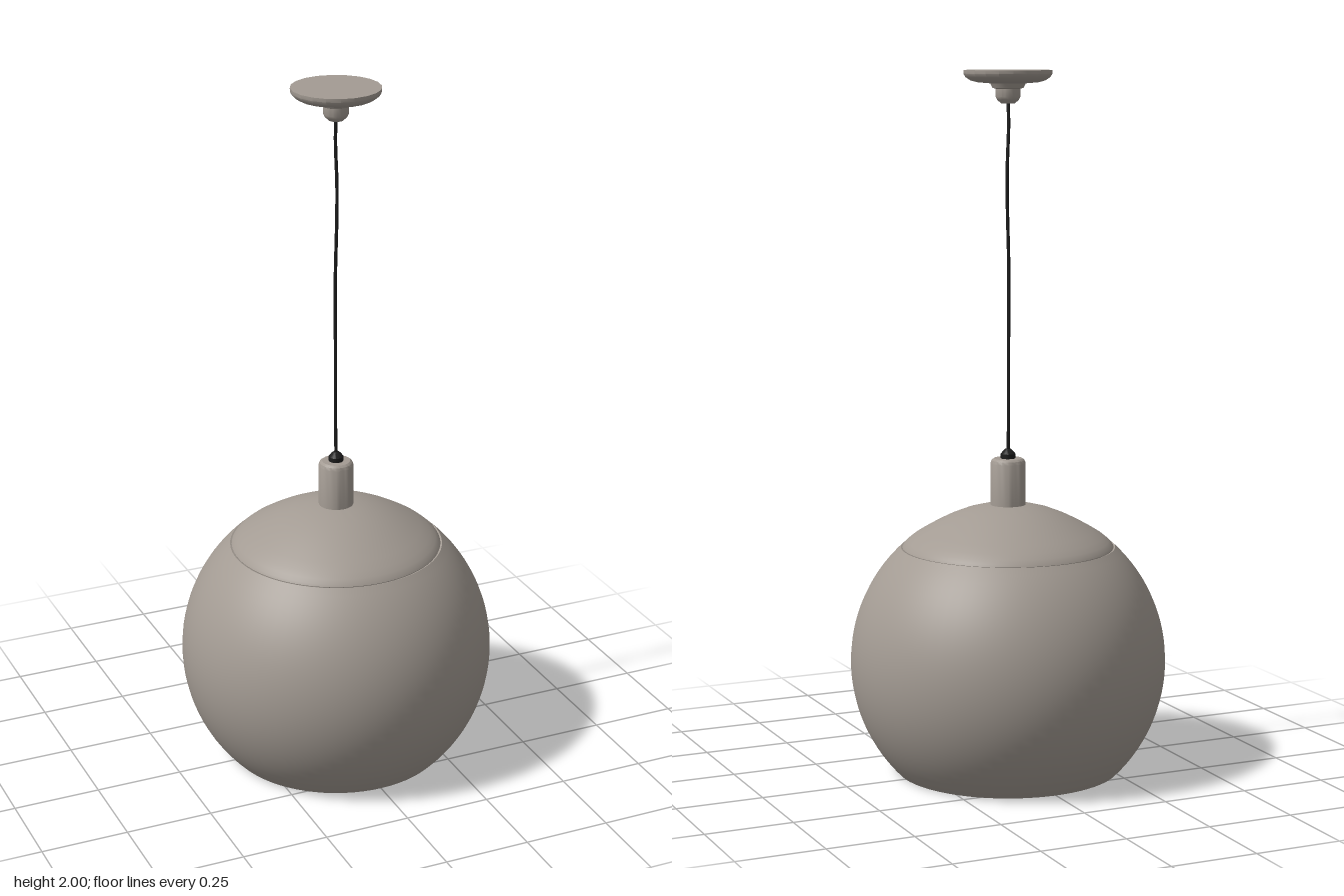
import * as THREE from 'three';
import { toCreasedNormals } from 'three/addons/utils/BufferGeometryUtils.js';

const shell = new THREE.MeshStandardMaterial({ color: 0xa39b93 });
shell.name = 'warm grey';
const dark = new THREE.MeshStandardMaterial({ color: 0x1c1c1c });
dark.name = 'black';

const CENTRE = 0.318, RADIUS = 0.452;

// Points on a sphere profile between two heights
function arc(radius, y0, y1, steps) {
  const a0 = Math.asin((y0 - CENTRE) / radius);
  const a1 = Math.asin((y1 - CENTRE) / radius);
  return Array.from({ length: steps + 1 }, (_, i) => {
    const a = a0 + (a1 - a0) * i / steps;
    return [radius * Math.cos(a), CENTRE + radius * Math.sin(a)];
  });
}

// Turned part; profiles run upwards on outer faces
function turned(name, points, material, sides) {
  const lathe = new THREE.LatheGeometry(points.map(([r, y]) => new THREE.Vector2(r, y)), sides);
  const mesh = new THREE.Mesh(toCreasedNormals(lathe, 0.6), material);
  mesh.name = name;
  return mesh;
}

export function createModel() {
  const group = new THREE.Group();
  group.name = 'pendantLamp';

  // Open globe with an inner wall
  group.add(turned('globeShade', [
    ...arc(RADIUS - 0.006, 0.642, 0, 28),
    ...arc(RADIUS, 0, 0.65, 28),
    [0.293, 0.645],
  ], shell, 72));

  // Domed cap set into the globe behind a narrow groove
  group.add(turned('domeCap', [
    [0, 0.762], [0.1, 0.749], [0.2, 0.708], [0.286, 0.643],
    [0.3, 0.643], [0.302, 0.65], [0.298, 0.657], [0.288, 0.667], [0.272, 0.68],
    [0.245, 0.697], [0.21, 0.717], [0.17, 0.737], [0.125, 0.755],
    [0.08, 0.767], [0.04, 0.773], [0, 0.775],
  ], shell, 72));

  // Socket holder
  group.add(turned('socketHolder', [
    [0.05, 0.76], [0.05, 0.892], [0.047, 0.9], [0.04, 0.905], [0, 0.905],
  ], shell, 32));

  // Cord grip
  group.add(turned('cordGrip', [
    [0.021, 0.903], [0.021, 0.918], [0.014, 0.927], [0.008, 0.932], [0, 0.932],
  ], dark, 16));

  // Slightly wavy cord
  const path = new THREE.CatmullRomCurve3([
    [0, 0.92, 0], [0, 1.0, -0.003], [-0.002, 1.2, 0.001], [-0.004, 1.45, 0.004],
    [0.002, 1.62, 0], [0.004, 1.72, -0.003], [0, 1.85, -0.004], [0, 1.92, 0],
  ].map(p => new THREE.Vector3(...p)));
  const cord = new THREE.Mesh(new THREE.TubeGeometry(path, 48, 0.005, 8), dark);
  cord.name = 'cord';
  group.add(cord);

  // Ceiling canopy with its lower collar
  group.add(turned('ceilingCanopy', [
    [0, 1.908], [0.02, 1.908], [0.031, 1.918], [0.035, 1.926], [0.035, 1.948],
    [0.044, 1.951], [0.05, 1.963], [0.085, 1.966], [0.105, 1.971],
    [0.119, 1.98], [0.125, 1.99], [0.125, 2], [0, 2],
  ], shell, 20));

  return group;
}
